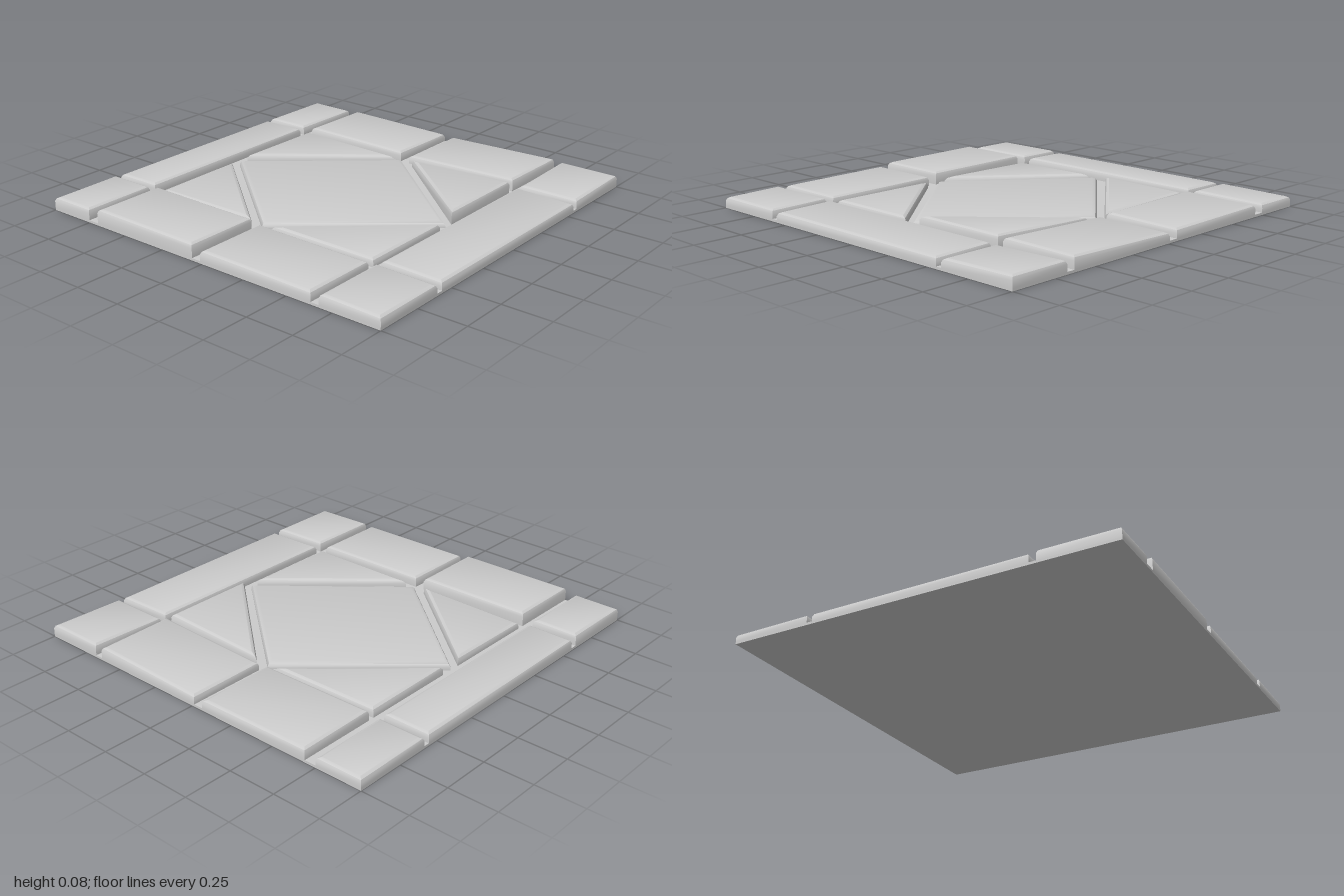
import * as THREE from 'three';
import { toCreasedNormals } from 'three/addons/utils/BufferGeometryUtils.js';

const BASE = 0.012; // mortar level
const material = new THREE.MeshStandardMaterial({ color: 0xcccccc });

// Move every corner of an x/z outline inward by d
function inset(outline, d) {
  const n = outline.length;
  const normal = (a, b) => {
    const dx = b[0] - a[0], dz = b[1] - a[1], l = Math.hypot(dx, dz);
    return [dz / l, -dx / l];
  };
  return outline.map((p, i) => {
    const m = normal(outline[(i + n - 1) % n], p);
    const k = normal(p, outline[(i + 1) % n]);
    const s = d / (1 + m[0] * k[0] + m[1] * k[1]);
    return [p[0] + (m[0] + k[0]) * s, p[1] + (m[1] + k[1]) * s];
  });
}

// Worn paving stone: upright sides, rounded rim and a slightly tilted top
function stone(name, outline, height, slopeX = 0, slopeZ = 0, bevel = 0.02) {
  const n = outline.length;
  const cx = outline.reduce((s, p) => s + p[0], 0) / n;
  const cz = outline.reduce((s, p) => s + p[1], 0) / n;
  const top = ([x, z]) => height + slopeX * (x - cx) + slopeZ * (z - cz);
  const rings = [[0, null], [0, 0.02], [bevel * 0.3, 0.007], [bevel, 0]].map(([d, drop]) =>
    inset(outline, d).map(p => [p[0], drop === null ? BASE : top(p) - drop, p[1]]));
  const index = [];
  for (let r = 0; r < rings.length - 1; r++) {
    for (let i = 0; i < n; i++) {
      const j = (i + 1) % n;
      const a = r * n + i, b = r * n + j, c = a + n, d = b + n;
      index.push(a, b, d, a, d, c);
    }
  }
  const t = (rings.length - 1) * n;
  for (let i = 1; i < n - 1; i++) index.push(t, t + i, t + i + 1);
  const geometry = new THREE.BufferGeometry();
  geometry.setAttribute('position', new THREE.Float32BufferAttribute(rings.flat(2), 3));
  geometry.setIndex(index);
  const mesh = new THREE.Mesh(toCreasedNormals(geometry, 0.6), material);
  mesh.name = name;
  return mesh;
}

const rect = (x0, x1, z0, z1) => [[x0, z0], [x0, z1], [x1, z1], [x1, z0]];

export function createModel() {
  const group = new THREE.Group();
  group.name = 'stoneFloorTile';

  // Mortar bed under all the stones
  const bed = new THREE.Mesh(new THREE.BoxGeometry(2, BASE, 2), material);
  bed.position.y = BASE / 2;
  bed.name = 'mortarBed';
  group.add(bed);

  group.add(
    // Corner stones
    stone('backRightCorner', rect(-1, -0.605, -1, -0.75), 0.068),
    stone('backLeftCorner', rect(0.585, 1, -1, -0.75), 0.056, -0.01),
    stone('frontRightCorner', rect(-1, -0.605, 0.676, 1), 0.06, 0, -0.02),
    stone('frontLeftCorner', rect(0.585, 1, 0.676, 1), 0.06, 0.025),
    // Long strips at back and front
    stone('backStrip', rect(-0.57, 0.555, -1, -0.75), 0.06, -0.004, 0.01),
    stone('frontStrip', rect(-0.57, 0.555, 0.676, 1), 0.055, 0, -0.02),
    // Side stones
    stone('rightSideBack', rect(-1, -0.605, -0.69, -0.06), 0.081, -0.004, -0.008),
    stone('rightSideFront', rect(-1, -0.605, -0.01, 0.633), 0.061, 0, -0.01),
    stone('leftSideBack', rect(0.585, 1, -0.69, -0.065), 0.062, -0.015, -0.01),
    stone('leftSideFront', rect(0.585, 1, -0.013, 0.633), 0.063, -0.01, 0.03),
    // Triangles around the diamond
    stone('backRightTriangle', [[-0.57, -0.69], [-0.57, -0.09], [-0.065, -0.69]], 0.052, 0.01, 0.01),
    stone('backLeftTriangle', [[0.05, -0.69], [0.555, -0.085], [0.555, -0.69]], 0.054, -0.01, -0.015),
    stone('frontRightTriangle', [[-0.57, 0.03], [-0.57, 0.633], [-0.055, 0.633]], 0.05),
    stone('frontLeftTriangle', [[0.04, 0.633], [0.555, 0.633], [0.555, 0.03]], 0.069, 0, 0.04),
    // Central diamond
    stone('diamond', [[-0.56, -0.035], [-0.01, 0.633], [0.55, -0.035], [-0.01, -0.69]], 0.045, 0, -0.005, 0.025),
  );
  return group;
}
